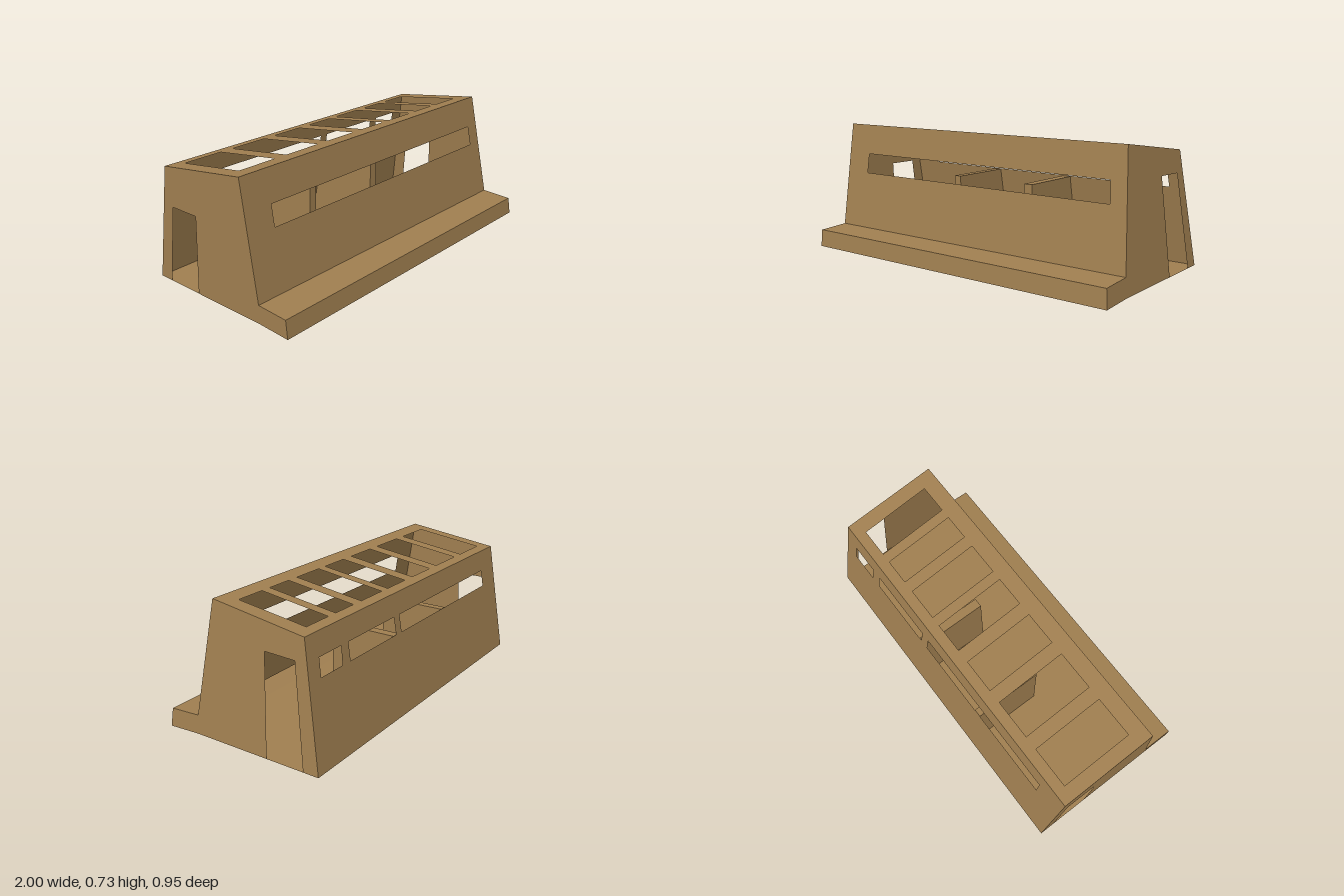
import * as THREE from 'three';

const wallMaterial = new THREE.MeshStandardMaterial({ color: 0xa07f50, side: THREE.DoubleSide });
wallMaterial.name = 'sand brown';

// The right end leans inward as it rises.
const endX = (y) => 1 - 0.096 * y;
// Depth of the leaning front and back walls, and height of the sloping roof.
const frontZ = (y) => 0.285 - ((y - 0.11) * 0.095) / 0.62;
const backZ = (y) => -0.475 + ((y - 0.01) * 0.11) / 0.645;
const roofY = (z) => 0.655 + ((z + 0.365) * 0.075) / 0.555;

const toPoints = (list) => list.map(([u, v]) => new THREE.Vector2(u, v));

// Thin flat sheet drawn in two dimensions, then placed in space by a rule.
function sheet(name, outline, holes, place) {
  const shape = new THREE.Shape(toPoints(outline));
  for (const hole of holes) shape.holes.push(new THREE.Path(toPoints(hole)));
  const geometry = new THREE.ShapeGeometry(shape);
  const position = geometry.attributes.position;
  for (let i = 0; i < position.count; i++) {
    position.setXYZ(i, ...place(position.getX(i), position.getY(i)));
  }
  geometry.computeVertexNormals();
  const mesh = new THREE.Mesh(geometry, wallMaterial);
  mesh.name = name;
  return mesh;
}

// Strip running the full length between two (z, y) edges.
function strip(name, [z0, y0], [z1, y1]) {
  const outline = [[-1, 0], [endX(y0), 0], [endX(y1), 1], [-1, 1]];
  return sheet(name, outline, [], (x, t) => [x, y0 + (y1 - y0) * t, z0 + (z1 - z0) * t]);
}

// Low inner wall reaching from the back wall to the middle of the room.
function partition(name, x0, x1) {
  const top = 0.44;
  const shape = new THREE.Shape(toPoints([
    [0.01, 0.012], [-backZ(0.012) - 0.002, 0.012], [-backZ(top) - 0.002, top], [0.01, top],
  ]));
  const geometry = new THREE.ExtrudeGeometry(shape, { depth: x1 - x0, bevelEnabled: false });
  geometry.rotateY(Math.PI / 2).translate(x0, 0, 0);
  const position = geometry.attributes.position;
  const middle = (x0 + x1) / 2;
  // Slight taper toward the top
  for (let i = 0; i < position.count; i++) {
    if (position.getY(i) > 0.2) position.setX(i, middle + (position.getX(i) - middle) * 0.82);
  }
  geometry.computeVertexNormals();
  const mesh = new THREE.Mesh(geometry, wallMaterial);
  mesh.name = name;
  return mesh;
}

export function createModel() {
  const model = new THREE.Group();
  model.name = 'bunker';

  // Front wall with one long viewing slot
  model.add(sheet('frontWall',
    [[-1, 0.11], [endX(0.11), 0.11], [endX(0.73), 0.73], [-1, 0.73]],
    [[[-0.83, 0.44], [0.866, 0.44], [0.855, 0.555], [-0.83, 0.555]]],
    (x, y) => [x, y, frontZ(y)]));

  // Back wall with three windows
  const windows = [[-0.83, 0.155, -0.83, 0.155], [0.21, 0.63, 0.21, 0.625], [0.697, 0.867, 0.685, 0.858]];
  model.add(sheet('backWall',
    [[-1, 0.01], [endX(0.01), 0.01], [endX(0.655), 0.655], [-1, 0.655]],
    windows.map(([a, b, c, d]) => [[a, 0.443], [b, 0.443], [d, 0.537], [c, 0.537]]),
    (x, y) => [x, y, backZ(y)]));

  // Roof with a row of openings
  const openings = [[-0.92, -0.69], [-0.61, -0.385], [-0.305, -0.11], [-0.03, 0.145],
    [0.205, 0.395], [0.465, 0.615], [0.675, 0.845]];
  model.add(sheet('roof',
    [[-1, -0.365], [endX(0.655), -0.365], [endX(0.73), 0.19], [-1, 0.19]],
    openings.map(([a, b]) => [[a, -0.305], [b, -0.305], [b, 0.1], [a, 0.1]]),
    (x, z) => [x, roofY(z), z]));

  // End walls, each notched by a leaning doorway
  const endOutline = (door) => [
    [0.475, 0], [0.465, 0.1], [0.285, 0.11], [0.19, 0.73], [-0.365, 0.655], [-0.475, 0.01],
    ...door, [0.285, 0.01],
  ];
  const rightDoor = [[-0.387, 0.01], [-0.316, 0.535], [-0.139, 0.54], [-0.168, 0.01]];
  const leftDoor = [[-0.387, 0.01], [-0.327, 0.444], [-0.146, 0.444], [-0.168, 0.01]];
  model.add(sheet('slopedEndWall', endOutline(rightDoor), [], (z, y) => [endX(y), y, z]));
  model.add(sheet('straightEndWall', endOutline(leftDoor), [], (z, y) => [-1, y, z]));

  // Front step and floor
  model.add(strip('stepTop', [0.465, 0.1], [0.285, 0.11]));
  model.add(strip('stepFront', [0.475, 0], [0.465, 0.1]));
  model.add(strip('stepBottom', [0.475, 0], [0.285, 0.01]));
  model.add(strip('floor', [0.285, 0.01], [-0.475, 0.01]));

  // Inner walls
  model.add(partition('leftPartition', 0.172, 0.236));
  model.add(partition('rightPartition', -0.34, -0.286));

  return model;
}
